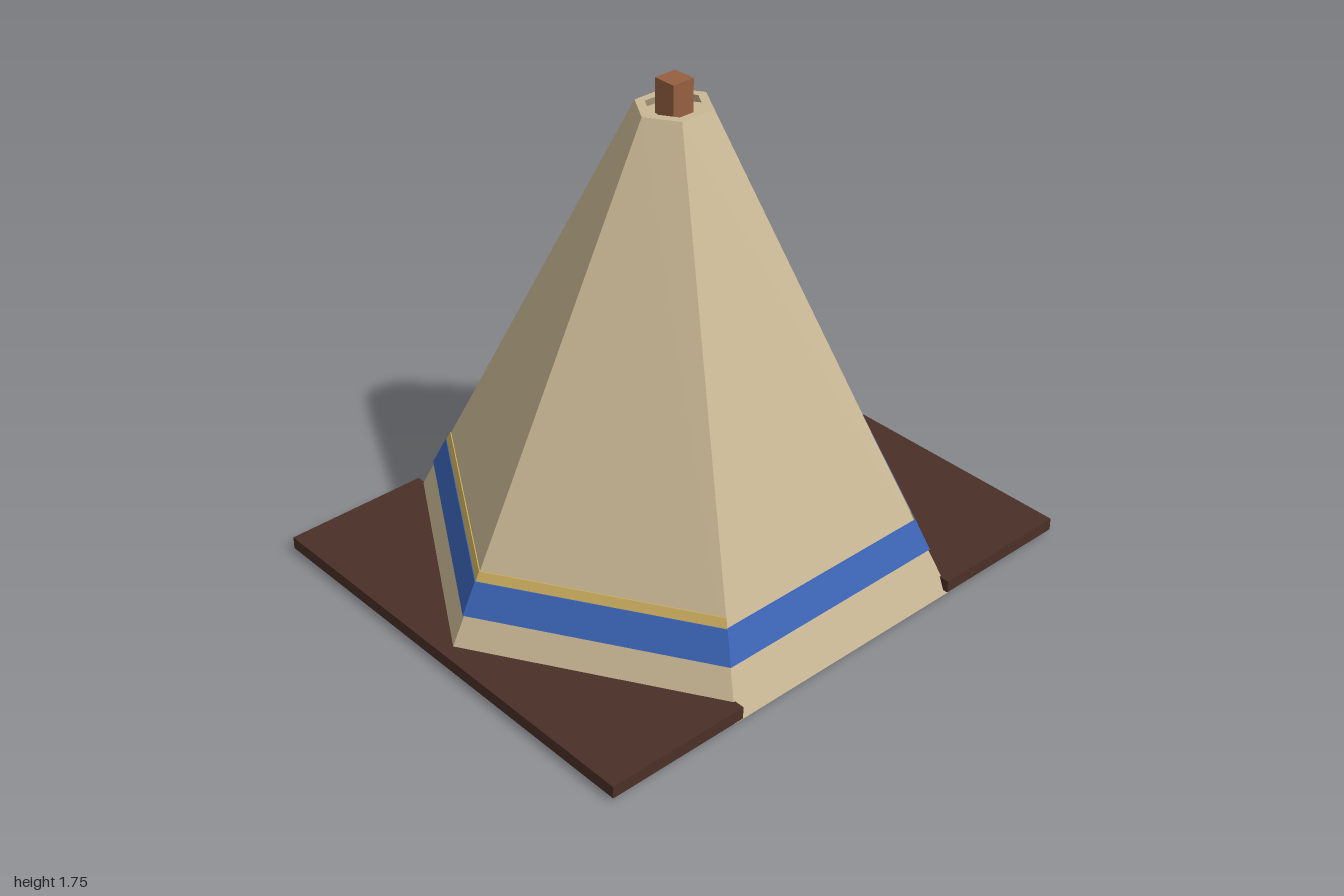
import * as THREE from 'three';

const mat = (name, color) => Object.assign(new THREE.MeshStandardMaterial({ color }), { name });

// Corner of the tapering hexagon at height y, pushed outward by off
function corner(i, y, off) {
  const X = 0.983 - 0.5115 * y + off;
  const Z = 0.823 - 0.43 * y + off * 0.84;
  const s = [[1, 0], [0.5, 1], [-0.5, 1], [-1, 0], [-0.5, -1], [0.5, -1]][i % 6];
  return new THREE.Vector3(s[0] * X, y, s[1] * Z);
}

// Closed slab lying on side i, between heights y0..y1 and offsets inner..outer.
// low and high are the [start, end] fractions along the side at y0 and y1.
function slab(i, y0, y1, inner, outer, low = [0, 1], high = [0, 1]) {
  const p = (y, t, off) => corner(i, y, off).lerp(corner(i + 1, y, off), t);
  const loop = off => [p(y0, low[0], off), p(y1, high[0], off), p(y1, high[1], off), p(y0, low[1], off)];
  const o = loop(outer), n = loop(inner);
  const quads = [o, [...n].reverse()];
  for (let k = 0; k < 4; k++) {
    const q = (k + 1) % 4;
    quads.push([o[q], o[k], n[k], n[q]]);
  }
  const points = quads.flatMap(([a, b, c, d]) => [a, b, c, a, c, d]);
  const geo = new THREE.BufferGeometry().setFromPoints(points);
  geo.computeVertexNormals();
  return geo;
}

export function createModel() {
  const model = new THREE.Group();
  model.name = 'tent';
  const canvas = mat('canvas', 0xc9b794);
  const blue = mat('blue paint', 0x3a63b5);
  const yellow = mat('yellow paint', 0xccad5e);
  const darkWood = mat('dark wood', 0x4a3027);
  const poleWood = mat('pole wood', 0x965f40);

  const add = (name, geo, material, x = 0, y = 0, z = 0) => {
    const mesh = new THREE.Mesh(geo, material);
    mesh.name = name;
    mesh.position.set(x, y, z);
    model.add(mesh);
  };

  const FRONT = 1, BACK = 4, TOP = 1.66, DOOR = 1.0, THICK = -0.034;

  // Canvas walls and painted bands
  for (let i = 0; i < 6; i++) {
    add('topLip', slab(i, 1.62, 1.63, -0.088, -0.03), canvas);
    if (i === BACK) continue;
    add('wall', slab(i, 0, TOP, THICK, 0), canvas);
    add('blueBand', slab(i, 0.16, 0.267, 0, 0.007), blue);
    if (i !== FRONT) add('yellowBand', slab(i, 0.267, 0.298, 0, 0.004), yellow);
  }

  // Back wall around the doorway, with a raised strip down each side
  add('backWallTop', slab(BACK, DOOR, TOP, THICK, 0), canvas);
  const at = (x, y) => 0.5 + x / (2 * corner(5, y, 0).x);
  for (const s of [-1, 1]) {
    const span = (a, b, y) => [at(s * a, y), at(s * b, y)].sort((p, q) => p - q);
    const edge = (v, y) => (s < 0 ? [0, at(-v, y)] : [at(v, y), 1]);
    add('backWallSide', slab(BACK, 0, DOOR, THICK, 0, edge(0.285, 0), edge(0.143, DOOR)), canvas);
    add('doorStrip', slab(BACK, 0, DOOR, -0.012, 0.012, span(0.27, 0.342, 0), span(0.13, 0.17, DOOR)), canvas);
  }

  // Ground boards, floor mat and centre pole
  for (const s of [-1, 1]) {
    add('groundBoard', new THREE.BoxGeometry(0.53, 0.045, 1.668), darkWood, s * 0.735, 0.0375, 0);
  }
  add('floorMat', new THREE.BoxGeometry(0.74, 0.022, 0.7), canvas, 0, 0.015, 0);
  add('centrePole', new THREE.BoxGeometry(0.084, 1.75, 0.084), poleWood, 0, 0.875, 0);

  return model;
}
